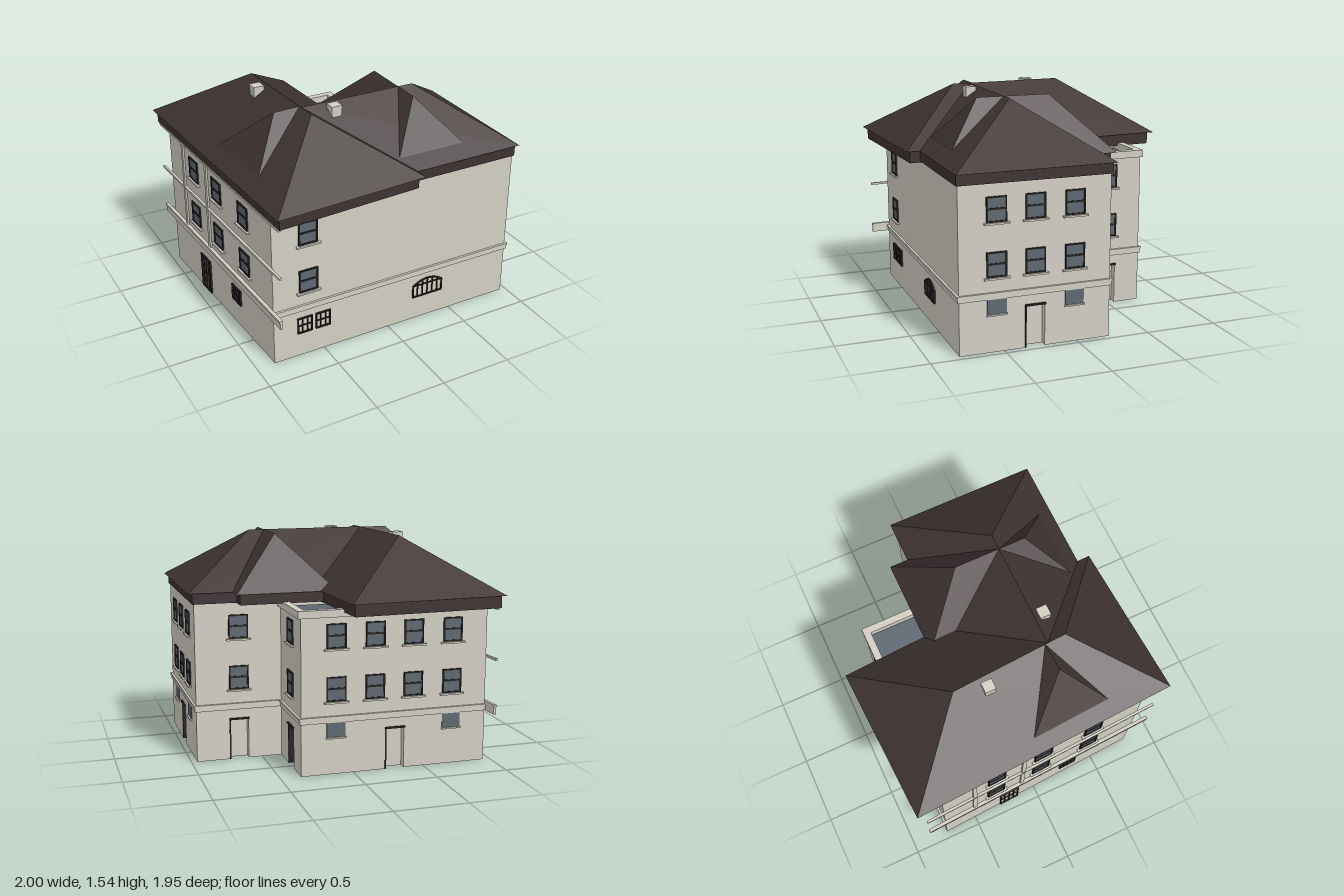
import * as THREE from 'three';
import { ConvexGeometry } from 'three/addons/geometries/ConvexGeometry.js';

const material = (name, color, side = THREE.FrontSide) => {
  const m = new THREE.MeshStandardMaterial({ color, side });
  m.name = name;
  return m;
};

export function createModel() {
  const plaster = material('plaster', 0xd2cec3, THREE.DoubleSide);
  const tile = material('roofTile', 0x3d3231);
  const frame = material('darkFrame', 0x262120);
  const glass = material('blueGlass', 0x5e6771, THREE.DoubleSide);

  const house = new THREE.Group();
  house.name = 'house';

  const add = (parent, name, geometry, mat) => {
    const mesh = new THREE.Mesh(geometry, mat);
    mesh.name = name;
    parent.add(mesh);
    return mesh;
  };
  // Box given by its minimum and maximum corners
  const box = (parent, name, mat, x0, x1, y0, y1, z0, z1) => {
    const mesh = add(parent, name, new THREE.BoxGeometry(x1 - x0, y1 - y0, z1 - z0), mat);
    mesh.position.set((x0 + x1) / 2, (y0 + y1) / 2, (z0 + z1) / 2);
    return mesh;
  };
  const hull = (name, points, mat = tile) =>
    add(house, name, new ConvexGeometry(points.map((p) => new THREE.Vector3(...p))), mat);

  // Rectangular frame of four bars, lying on a wall
  const border = (g, x0, x1, y0, y1, t, d) => {
    box(g, 'frameSide', frame, x0, x0 + t, y0, y1, 0, d);
    box(g, 'frameSide', frame, x1 - t, x1, y0, y1, 0, d);
    box(g, 'frameBottom', frame, x0, x1, y0, y0 + t, 0, d);
    box(g, 'frameTop', frame, x0, x1, y1 - t, y1, 0, d);
  };
  const sashWindow = (g, x, y) => {
    box(g, 'windowGlass', glass, x - 0.065, x + 0.065, y, y + 0.16, 0, 0.004);
    border(g, x - 0.068, x + 0.068, y - 0.002, y + 0.163, 0.01, 0.01);
    box(g, 'windowBar', frame, x - 0.065, x + 0.065, y + 0.078, y + 0.09, 0, 0.009);
    box(g, 'windowSill', plaster, x - 0.085, x + 0.085, y - 0.015, y - 0.003, 0, 0.022);
  };
  const cellarWindow = (g, x) => {
    box(g, 'cellarGlass', glass, x - 0.065, x + 0.065, 0.255, 0.355, 0, 0.004);
    box(g, 'cellarSill', plaster, x - 0.07, x + 0.07, 0.245, 0.255, 0, 0.015);
  };
  const grille = (g, x0, x1, y0, y1, bars) => {
    border(g, x0, x1, y0, y1, 0.008, 0.012);
    for (let i = 1; i <= bars; i++) {
      const x = x0 + ((x1 - x0) * i) / (bars + 1);
      box(g, 'grilleBar', frame, x - 0.003, x + 0.003, y0, y1, 0, 0.01);
    }
    const y = (y0 + y1) / 2;
    box(g, 'grilleCrossbar', frame, x0, x1, y - 0.003, y + 0.003, 0, 0.01);
  };
  // Recessed doorway behind a notch in the wall
  const HALF = 0.065, DOOR = 0.285, DEEP = 0.05;
  const doorway = (g, x) => {
    box(g, 'door', plaster, x - HALF, x + HALF, 0, DOOR, -DEEP - 0.005, -DEEP);
    box(g, 'doorJambRight', plaster, x + HALF, x + HALF + 0.005, 0, DOOR, -DEEP, 0);
    box(g, 'doorJambLeft', frame, x - HALF - 0.005, x - HALF + 0.005, 0, DOOR, -DEEP, 0.002);
    box(g, 'doorLintel', frame, x - 0.07, x + 0.07, DOOR - 0.004, DOOR + 0.008, -DEEP, 0.012);
  };

  // One straight wall; local x runs along it, local z points outwards
  const wall = (name, [px, pz], [qx, qz], { windows = [], cellar = [], doors = [] }) => {
    const g = new THREE.Group();
    g.name = name;
    g.position.set(px, 0, pz);
    g.rotation.y = Math.atan2(pz - qz, qx - px);
    house.add(g);
    const length = Math.hypot(qx - px, qz - pz);
    const s = new THREE.Shape().moveTo(0, 0);
    doors.forEach((d) => s.lineTo(d - HALF, 0).lineTo(d - HALF, DOOR).lineTo(d + HALF, DOOR).lineTo(d + HALF, 0));
    s.lineTo(length, 0).lineTo(length, 1.1).lineTo(0, 1.1);
    add(g, 'wallFace', new THREE.ShapeGeometry(s), plaster);
    box(g, 'stringCourse', plaster, -0.01, length + 0.01, 0.355, 0.385, 0, 0.01);
    box(g, 'stringCourseCap', plaster, -0.014, length + 0.014, 0.385, 0.4, 0, 0.016);
    windows.forEach((x) => [0.5, 0.855].forEach((y) => sashWindow(g, x, y)));
    cellar.forEach((x) => cellarWindow(g, x));
    doors.forEach((x) => doorway(g, x));
    return g;
  };

  const A = [-0.87, 0.8], B = [0.96, 0.8], C = [0.96, -0.23];
  const D = [0.36, -0.23], E = [0.36, -0.74], F = [-0.95, -0.74];
  const front = wall('frontWall', A, B, { windows: [0.255] });
  wall('leftWingWall', B, C, { windows: [0.25, 0.51, 0.78], cellar: [0.25, 0.78], doors: [0.51] });
  wall('wingBackWall', C, D, { windows: [0.3], doors: [0.3] });
  wall('innerCornerWall', D, E, { windows: [0.26], doors: [0.26] });
  wall('backWall', E, F, { windows: [0.24, 0.51, 0.78, 1.06], cellar: [0.24, 1.06], doors: [0.655] });
  const side = wall('rightWall', F, A, { windows: [0.41, 0.77, 1.16] });

  // Barred cellar openings on the front
  grille(front, 0.17, 0.28, 0.18, 0.3, 2);
  grille(front, 0.305, 0.415, 0.18, 0.3, 2);
  const archOutline = (path, inset) => path
    .moveTo(1.06 + inset, 0.175 + inset)
    .lineTo(1.3 - inset, 0.175 + inset)
    .lineTo(1.3 - inset, 0.27)
    .quadraticCurveTo(1.18, 0.355 - 2 * inset, 1.06 + inset, 0.27);
  const arch = archOutline(new THREE.Shape(), 0);
  arch.holes.push(archOutline(new THREE.Path(), 0.007));
  add(front, 'archedFrame', new THREE.ExtrudeGeometry(arch, { depth: 0.012, bevelEnabled: false }), frame);
  for (let i = 1; i < 6; i++) {
    const x = 1.06 + i * 0.04;
    const top = 0.31 - 3 * (x - 1.18) ** 2;
    box(front, 'archedBar', frame, x - 0.003, x + 0.003, 0.18, top, 0, 0.01);
  }
  box(front, 'archedCrossbar', frame, 1.06, 1.3, 0.265, 0.271, 0, 0.01);

  // Slanted side: overlong ledges, pilasters, barred door and window
  box(side, 'lowerLedge', plaster, -0.13, 1.67, 0.355, 0.405, 0, 0.018);
  box(side, 'lowerLedgeCap', plaster, -0.13, 1.67, 0.405, 0.42, 0, 0.024);
  box(side, 'middleLedge', plaster, -0.13, 1.67, 0.727, 0.742, 0, 0.018);
  box(side, 'upperLedge', plaster, -0.13, 1.67, 1.075, 1.09, 0, 0.018);
  [0.24, 0.62].forEach((x) => box(side, 'pilaster', plaster, x - 0.015, x + 0.015, 0.42, 1.08, 0, 0.012));
  grille(side, 0.45, 0.6, 0.01, 0.28, 3);
  grille(side, 0.95, 1.08, 0.18, 0.3, 3);

  // Flat terrace roof and parapet in the back corner
  box(house, 'terraceRoof', glass, 0, 0.34, 1.05, 1.06, -0.71, -0.23);
  box(house, 'parapetSide', plaster, 0.33, 0.38, 1.06, 1.11, -0.75, -0.23);
  box(house, 'parapetBack', plaster, 0, 0.33, 1.06, 1.11, -0.75, -0.7);

  // Hipped roofs
  const EAVE = 1.175, TOP = 1.54;
  hull('mainRoof', [
    [-1, EAVE, -0.93], [0.09, EAVE, -0.98], [0.19, EAVE, 0.91], [-0.9, EAVE, 0.97],
    [-0.43, TOP, -0.41], [-0.38, TOP, 0.41],
  ]);
  hull('wingRoof', [
    [-0.39, EAVE, 0.82], [-0.39, EAVE, -0.26], [1, EAVE, 0.82], [1, EAVE, -0.26],
    [-0.39, TOP, 0.28], [0.46, TOP, 0.28],
  ]);
  hull('backCrossRoof', [
    [0, EAVE, -0.39], [0.7, EAVE, -0.39], [0, EAVE, 0.28], [0.7, EAVE, 0.28],
    [0.35, TOP, -0.04], [0.35, TOP, 0.28],
  ]);
  hull('frontRoofGable', [[0.1, 1.247, 0.72], [0.6, 1.247, 0.72], [0.35, TOP, 0.47], [0.35, TOP, 0.28]]);
  hull('sideRoofGable', [[-0.855, 1.246, -0.03], [-0.82, 1.248, 0.53], [-0.58, TOP, 0.27], [-0.39, TOP, 0.26]]);

  // Boxed eaves below the roofs
  const eaves = (name, corners, low) =>
    hull(name, corners.flatMap(([x, z]) => [[x, low, z], [x, EAVE, z]]));
  eaves('mainEaves', [[-0.975, -0.9], [0.06, -0.945], [0.155, 0.88], [-0.875, 0.94]], 1.09);
  eaves('wingEaves', [[-0.3, 0.81], [-0.3, -0.24], [0.97, -0.24], [0.97, 0.81]], 1.1);
  eaves('backCrossEaves', [[0, 0], [0, -0.36], [0.67, -0.36], [0.67, 0]], 1.1);

  // Chimneys, slightly wider at the top
  [[-0.49, -0.19], [-0.18, 0.35]].forEach(([x, z]) => {
    const shaft = add(house, 'chimney', new THREE.CylinderGeometry(0.054, 0.046, 0.12, 4).rotateY(Math.PI / 4).toNonIndexed(), plaster);
    shaft.geometry.computeVertexNormals();
    shaft.position.set(x, 1.485, z);
  });

  return house;
}
